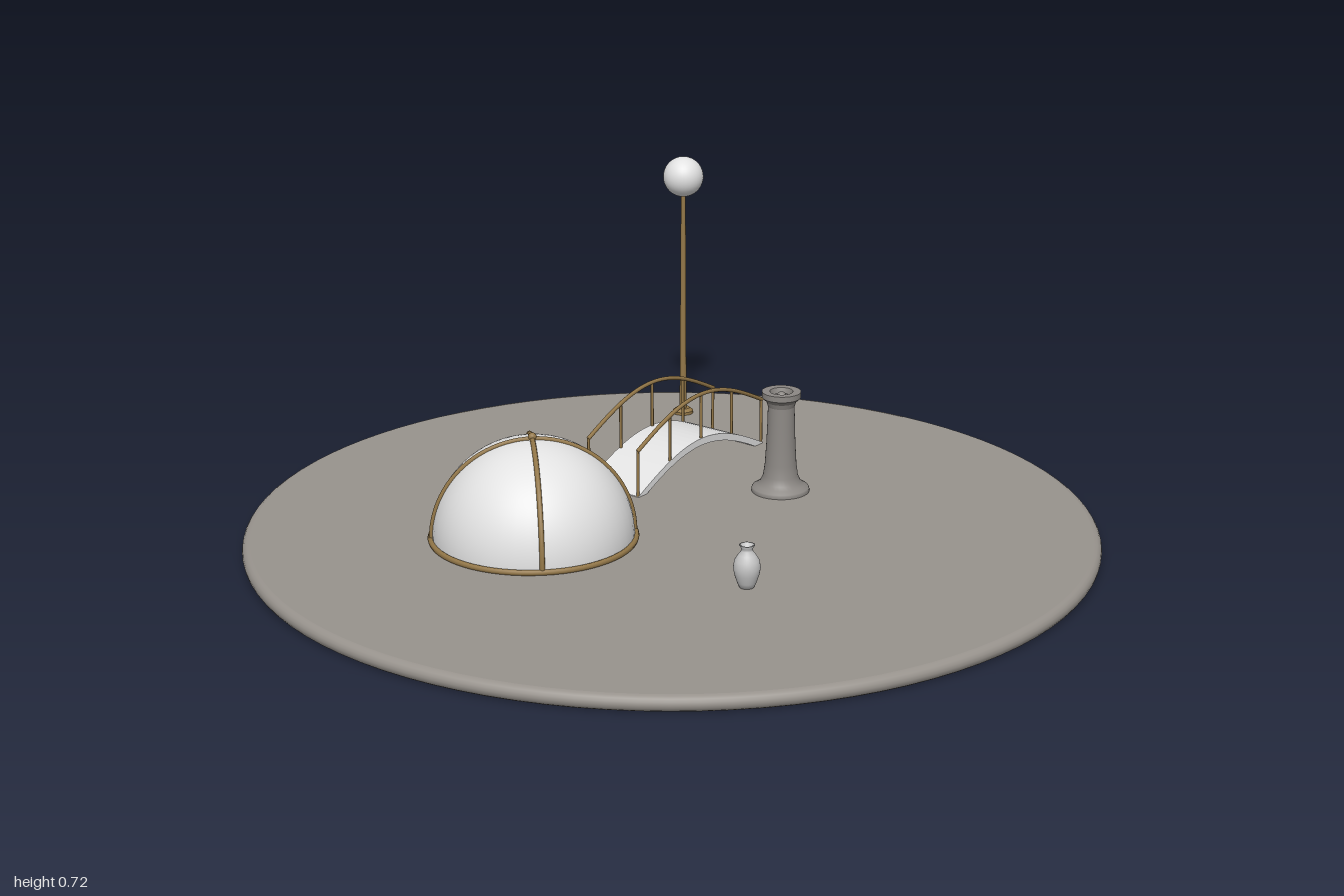
import * as THREE from 'three';

const mat = (name, color) => {
  const m = new THREE.MeshStandardMaterial({ color });
  m.name = name;
  return m;
};

export function createModel() {
  const stone = mat('stone', 0x98938d);
  const columnStone = mat('columnStone', 0x8c8884);
  const white = mat('white', 0xe2e2e2);
  const brass = mat('brass', 0x937748);
  const ceramic = mat('ceramic', 0xc6c6c6);
  const GROUND = 0.037;

  const model = new THREE.Group();
  model.name = 'plaza';
  const group = (name, x, y, z) => {
    const g = new THREE.Group();
    g.name = name;
    g.position.set(x, y, z);
    model.add(g);
    return g;
  };
  const add = (parent, name, geometry, material, x = 0, y = 0, z = 0) => {
    const m = new THREE.Mesh(geometry, material);
    m.name = name;
    m.position.set(x, y, z);
    parent.add(m);
    return m;
  };
  const lathe = (pts, seg = 32) =>
    new THREE.LatheGeometry(pts.map(([r, y]) => new THREE.Vector2(r, y)), seg);
  // Repeated points keep the shading sharp at an edge
  const sharp = (pts) => pts.flatMap((p) => [p, [p[0], p[1]]]);

  // Round ground plate: flat faces and a rounded rim
  const r = GROUND / 2;
  const rim = [];
  for (let i = 0; i <= 8; i++) {
    const a = -Math.PI / 2 + (i / 8) * Math.PI;
    rim.push([1 - r + r * Math.cos(a), r + r * Math.sin(a)]);
  }
  add(model, 'groundRim', lathe(rim, 96), stone);
  const top = add(model, 'groundTop', new THREE.CircleGeometry(1 - r, 96), stone, 0, GROUND, 0);
  top.rotation.x = -Math.PI / 2;
  const under = add(model, 'groundUnderside', new THREE.CircleGeometry(1 - r, 96), stone);
  under.rotation.x = Math.PI / 2;

  // Dome with crossed ribs, base ring and finial
  const dome = group('dome', -0.265, 0.042, -0.2);
  const R = 0.235;
  add(dome, 'domeShell', new THREE.SphereGeometry(R, 48, 20, 0, Math.PI * 2, 0, Math.PI / 2), white);
  const ring = add(dome, 'domeRing', new THREE.TorusGeometry(R + 0.003, 0.007, 8, 64), brass);
  ring.rotation.x = Math.PI / 2;
  for (const s of [-1, 1]) {
    const rib = add(dome, 'domeRib', new THREE.TorusGeometry(R + 0.001, 0.006, 8, 48, Math.PI), brass);
    rib.rotation.y = (s * Math.PI) / 4;
  }
  add(dome, 'domeFinial', new THREE.SphereGeometry(0.01, 16, 10), brass, 0, R + 0.006, 0);

  // Arched footbridge
  const bridge = group('bridge', 0.343, GROUND, -0.252);
  const half = 0.252, rise = 0.08, steps = 24;
  const arch = (x) => rise * Math.cos((x / half) * (Math.PI / 2));
  const deck = new THREE.Shape();
  for (let i = 0; i <= steps; i++) {
    const x = -half + (2 * half * i) / steps;
    if (i === 0) deck.moveTo(x, arch(x) + 0.002);
    else deck.lineTo(x, arch(x) + 0.002);
  }
  for (let i = steps; i >= 0; i--) {
    const x = -half + (2 * half * i) / steps;
    deck.lineTo(x, arch(x) - 0.016);
  }
  const deckGeo = new THREE.ExtrudeGeometry(deck, { depth: 0.16, bevelEnabled: false });
  add(bridge, 'bridgeDeck', deckGeo, white, 0, 0, -0.08);

  // Railings: a curved handrail on five posts, both sides
  const railHeight = 0.115;
  for (const z of [-0.076, 0.076]) {
    const pts = [];
    for (let i = 0; i <= 12; i++) {
      const x = -half + (2 * half * i) / 12;
      pts.push(new THREE.Vector3(x, arch(x) + railHeight, z));
    }
    const curve = new THREE.CatmullRomCurve3(pts);
    add(bridge, 'handrail', new THREE.TubeGeometry(curve, 32, 0.005, 8), brass);
    for (let i = 0; i < 5; i++) {
      const x = (half - 0.003) * (i / 2 - 1);
      add(bridge, 'railPost', new THREE.CylinderGeometry(0.0038, 0.0038, railHeight, 8), brass,
        x, arch(x) + railHeight / 2, z);
    }
  }

  // Street lamp
  const lamp = group('lamp', 0.663, GROUND, -0.478);
  add(lamp, 'lampFoot', lathe(sharp([[0.026, 0], [0.026, 0.007], [0.017, 0.014], [0, 0.014]]), 24), brass);
  add(lamp, 'lampPole', new THREE.CylinderGeometry(0.006, 0.009, 0.585, 16), brass, 0, 0.2925, 0);
  add(lamp, 'lampGlobe', new THREE.SphereGeometry(0.051, 32, 20), white, 0, 0.63, 0);

  // Stone column with flared foot and hollowed cap
  const column = group('column', 0.343, GROUND, -0.065 + 0.13);
  add(column, 'columnFoot', lathe([
    [0.07, 0], [0.07, 0.006], [0.068, 0.01], [0.058, 0.016], [0.049, 0.024],
    [0.042, 0.04], [0.038, 0.07], [0.035, 0.12], [0.033, 0.17], [0.032, 0.215],
  ]), columnStone);
  add(column, 'columnCap', lathe(sharp([
    [0.032, 0.214], [0.036, 0.226], [0.047, 0.237], [0.047, 0.251],
    [0.028, 0.251], [0.024, 0.238], [0, 0.238],
  ])), columnStone);
  add(column, 'columnKnob', new THREE.SphereGeometry(0.012, 16, 10), columnStone, 0, 0.238, 0);

  // Small vase with an open neck
  const vase = group('vase', -0.21, GROUND, 0.373);
  add(vase, 'vaseBody', lathe([
    [0, 0], [0.017, 0], [0.022, 0.012], [0.028, 0.03], [0.031, 0.047], [0.028, 0.064],
    [0.02, 0.077], [0.013, 0.086], [0.013, 0.092], [0.018, 0.1], [0.014, 0.1],
    [0.009, 0.09], [0, 0.085],
  ]), ceramic);

  return model;
}
